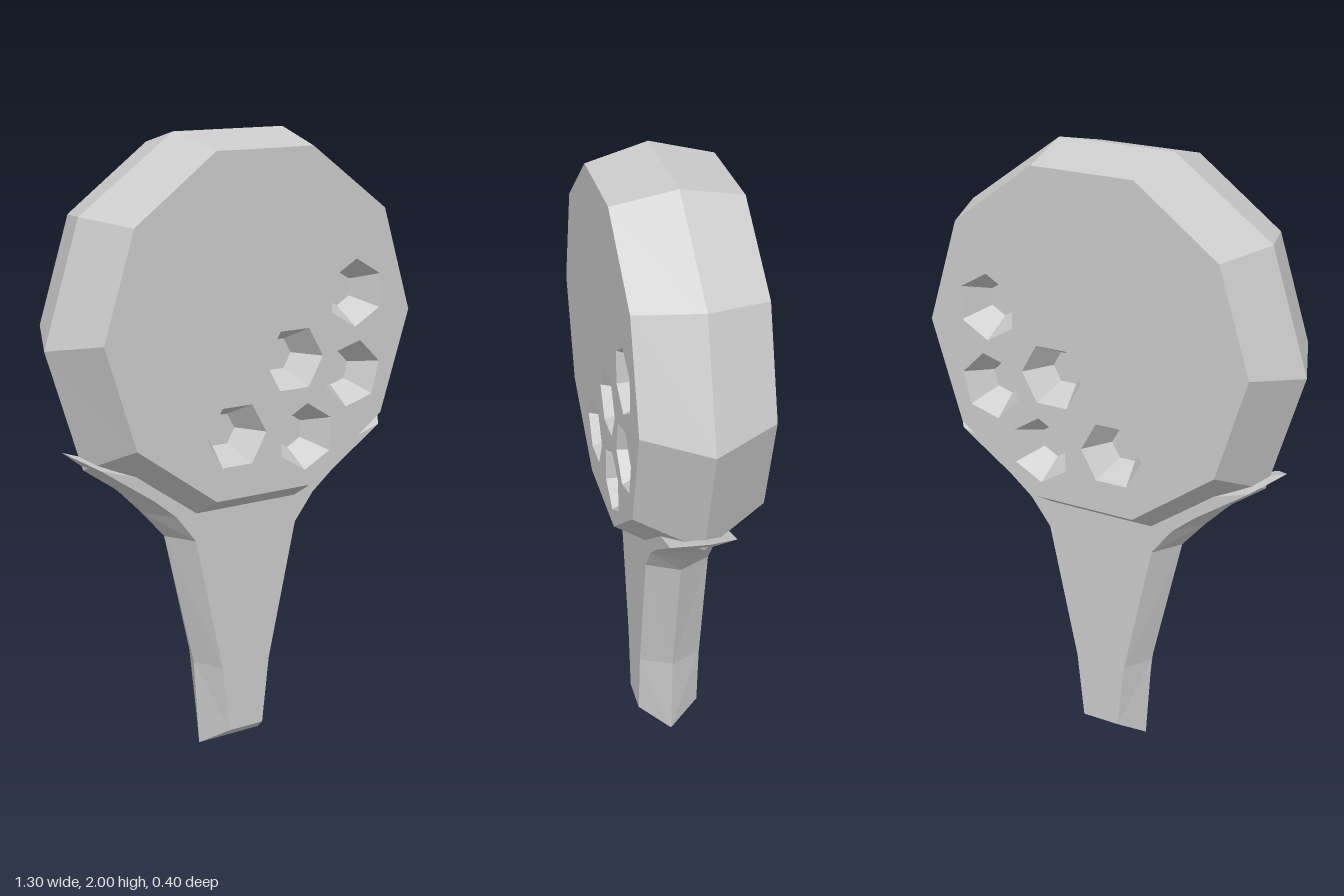
import * as THREE from 'three';

const material = new THREE.MeshStandardMaterial({ color: 0xcccccc, flatShading: true });

// Right half of an outline, bottom to top, completed by its mirror image
const mirrored = (half) => [
  ...half.map(([x, y]) => new THREE.Vector2(x, y)),
  ...half.slice().reverse().map(([x, y]) => new THREE.Vector2(-x, y)),
];

// Slab whose flat faces at +-depth slope out to a ridge outline at z = 0
function ridgedSlab(faceHalf, ridgeHalf, depth, holes = []) {
  const face = mirrored(faceHalf), ridge = mirrored(ridgeHalf);
  const points = [...face, ...holes.flat()];
  const triangles = THREE.ShapeUtils.triangulateShape(face, holes);
  const positions = [];
  for (const side of [1, -1]) {
    const add = (a, b, c) => {
      for (const p of side > 0 ? [a, b, c] : [a, c, b]) positions.push(p[0], p[1], p[2] * side);
    };
    const front = (p) => [p.x, p.y, depth];
    const middle = (p) => [p.x, p.y, 0];
    for (const [a, b, c] of triangles) add(front(points[a]), front(points[b]), front(points[c]));
    face.forEach((p, i) => {
      const j = (i + 1) % face.length;
      add(middle(ridge[i]), middle(ridge[j]), front(face[j]));
      add(middle(ridge[i]), front(face[j]), front(p));
    });
  }
  const geometry = new THREE.BufferGeometry();
  geometry.setAttribute('position', new THREE.Float32BufferAttribute(positions, 3));
  geometry.computeVertexNormals();
  return geometry;
}

export function createModel() {
  const model = new THREE.Group();
  const add = (name, geometry) => {
    const mesh = new THREE.Mesh(geometry, material);
    mesh.name = name;
    model.add(mesh);
    return mesh;
  };

  // Six-sided pits: centre x, centre y, turn in degrees
  const headDepth = 0.2, rim = 0.108, floor = 0.055, pitDepth = 0.1;
  const pits = [[0.347, 1.49, 30], [0.113, 1.303, 0], [0.34, 1.232, 16], [-0.1, 1.088, 0], [0.16, 1.05, 28]];
  const holes = pits.map(([x, y, turn]) => Array.from({ length: 6 }, (_, i) => {
    const a = THREE.MathUtils.degToRad(turn - i * 60);
    return new THREE.Vector2(x + rim * Math.cos(a), y + rim * Math.sin(a));
  }));

  // Ten-sided head
  add('head', ridgedSlab(
    [[0.175, 0.89], [0.455, 1.09], [0.56, 1.418], [0.455, 1.75], [0.175, 1.955]],
    [[0.2, 0.77], [0.53, 1.0], [0.65, 1.38], [0.527, 1.767], [0.2, 2]],
    headDepth, holes));

  // Pit walls and floors, on both faces
  const profile = [[rim, 0], [floor, -pitDepth], [0, -pitDepth]].map(([r, y]) => new THREE.Vector2(r, y));
  for (const side of [1, -1]) {
    pits.forEach(([x, y, turn]) => {
      const start = Math.PI / 2 + side * THREE.MathUtils.degToRad(turn);
      const geometry = new THREE.LatheGeometry(profile, 6, start).rotateX(side * Math.PI / 2);
      add(side > 0 ? 'frontPit' : 'backPit', geometry).position.set(x, y, side * headDepth);
    });
  }

  // Handle, flaring into two thin wings that cradle the head
  add('handle', ridgedSlab(
    [[0.065, 0.068], [0.09, 0.29], [0.19, 0.74], [0.26, 0.83], [0.34, 0.895], [0.525, 1.02], [0.3, 0.95], [0.1, 0.9]],
    [[0.117, 0], [0.137, 0.29], [0.245, 0.74], [0.325, 0.83], [0.41, 0.915], [0.6, 1.065], [0.3, 0.96], [0.1, 0.9]],
    0.102));

  return model;
}
